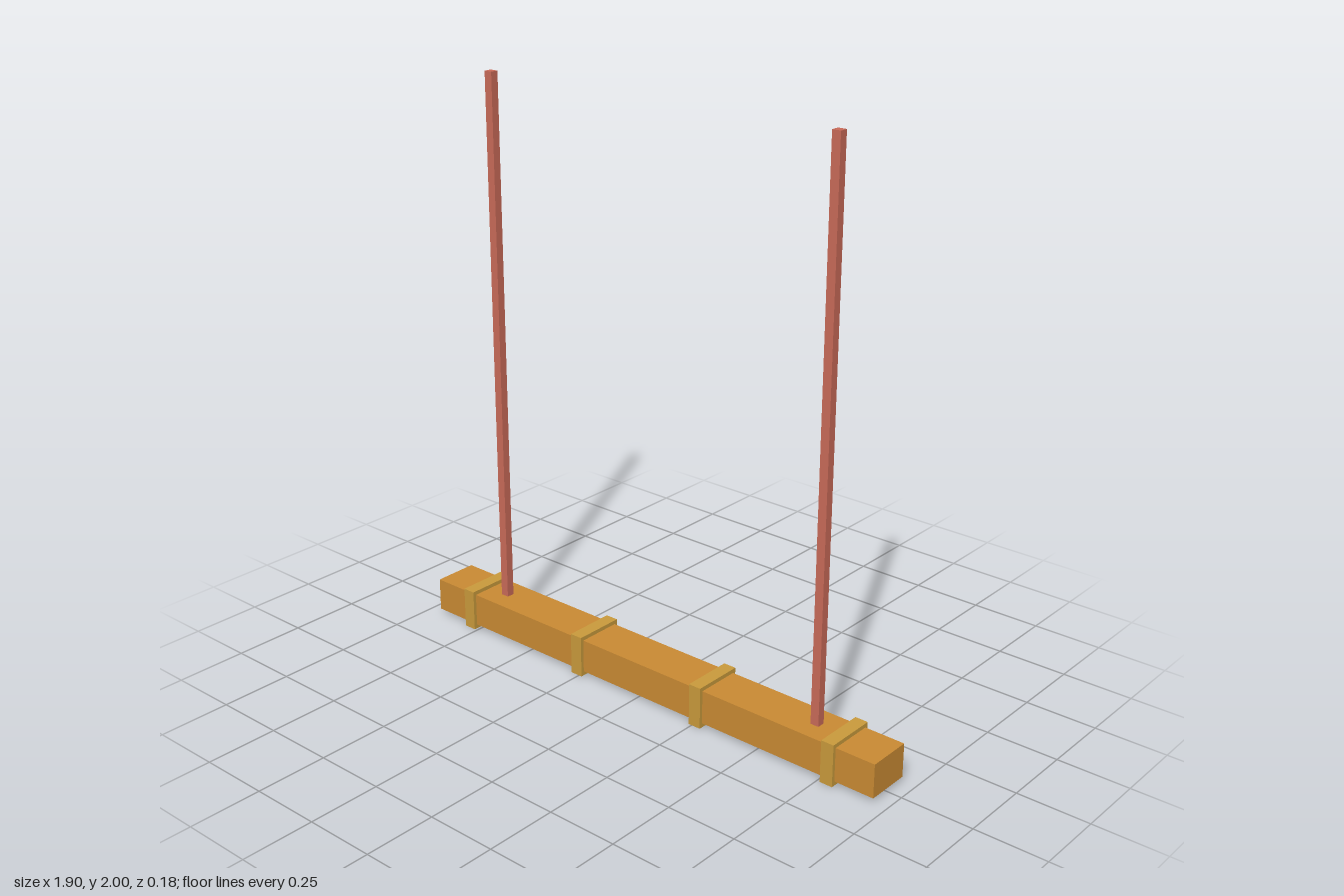
import * as THREE from 'three';

export function createModel() {
  const mat = (name, color) => {
    const m = new THREE.MeshStandardMaterial({ color });
    m.name = name;
    return m;
  };
  const wood = mat('warm wood', 0xc98a33);
  const brass = mat('brass', 0xc99a3c);
  const red = mat('red cord', 0xc96a58);

  const model = new THREE.Group();
  model.name = 'hangingBeam';

  const addBox = (name, material, [w, h, d], x, bottom) => {
    const mesh = new THREE.Mesh(new THREE.BoxGeometry(w, h, d), material);
    mesh.name = name;
    mesh.position.set(x, bottom + h / 2, 0);
    model.add(mesh);
  };

  // long horizontal beam
  addBox('beam', wood, [1.9, 0.118, 0.158], 0, 0.015);

  // four bands wrapped round the beam
  for (const x of [-0.784, -0.261, 0.261, 0.784]) {
    addBox('band', brass, [0.046, 0.147, 0.182], x, 0);
  }

  // two square suspension cords rising from the beam
  for (const x of [-0.68, 0.68]) {
    addBox('cord', red, [0.03, 1.868, 0.028], x, 0.132);
  }
  return model;
}
